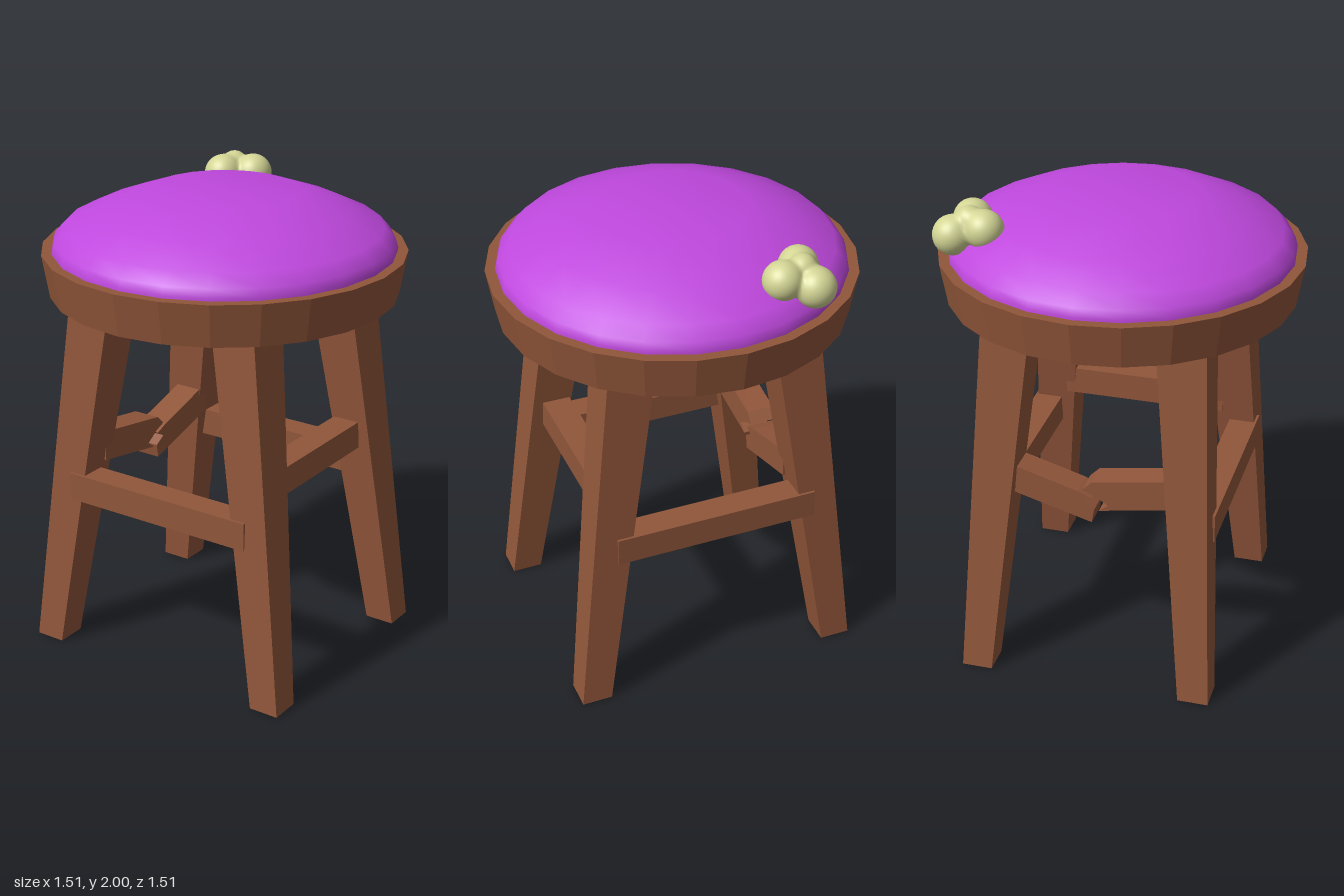
import * as THREE from 'three';
import { mergeVertices } from 'three/addons/utils/BufferGeometryUtils.js';

const wood = new THREE.MeshStandardMaterial({ color: 0x91563a, flatShading: true });
const fabric = new THREE.MeshStandardMaterial({ color: 0xbf48de, side: THREE.DoubleSide });
const gum = new THREE.MeshStandardMaterial({ color: 0xd3d595 });

function add(parent, name, geometry, material) {
  const mesh = new THREE.Mesh(geometry, material);
  mesh.name = name;
  parent.add(mesh);
  return mesh;
}

// Splayed square leg that widens towards the seat; sx, sz pick the corner
function legGeometry(sx, sz) {
  const g = new THREE.BoxGeometry(1, 1, 1);
  const p = g.attributes.position;
  const lerp = THREE.MathUtils.lerp;
  for (let i = 0; i < p.count; i++) {
    const t = p.getY(i) + 0.5;
    const x = p.getX(i) * sx > 0 ? lerp(0.625, 0.45, t) : lerp(0.495, 0.25, t);
    const z = p.getZ(i) * sz > 0 ? lerp(0.54, 0.46, t) : lerp(0.41, 0.255, t);
    p.setXYZ(i, sx * x, t * 1.58, sz * z);
  }
  g.computeVertexNormals();
  return g;
}

// Half of the snapped rail: a (z, y) outline given thickness along x
function brokenRailGeometry(outline) {
  const shape = new THREE.Shape(outline.map(([z, y]) => new THREE.Vector2(z, y)));
  const g = new THREE.ExtrudeGeometry(shape, { depth: 0.12, bevelEnabled: false });
  g.rotateY(-Math.PI / 2); // outline x -> z, thickness -> -x
  g.translate(-0.355, 0, 0);
  return g;
}

// Lumpy blob: a ball pushed out to the softened union of overlapping spheres,
// each of which must contain the blob's centre
function blobGeometry(lobes) {
  let g = new THREE.IcosahedronGeometry(1, 10);
  g.deleteAttribute('normal');
  g.deleteAttribute('uv');
  g = mergeVertices(g);
  const p = g.attributes.position;
  const d = new THREE.Vector3();
  for (let i = 0; i < p.count; i++) {
    d.fromBufferAttribute(p, i).normalize();
    let sum = 0;
    for (const [x, y, z, r] of lobes) {
      const along = d.x * x + d.y * y + d.z * z;
      const reach = along + Math.sqrt(r * r - (x * x + y * y + z * z) + along * along);
      sum += Math.pow(reach, 10);
    }
    d.multiplyScalar(Math.pow(sum, 0.1));
    p.setXYZ(i, d.x, d.y, d.z);
  }
  g.computeVertexNormals();
  return g;
}

export function createModel() {
  const model = new THREE.Group();
  model.name = 'stool';

  // Legs
  for (const sx of [1, -1]) {
    for (const sz of [1, -1]) {
      add(model, (sz > 0 ? 'front' : 'back') + (sx > 0 ? 'Left' : 'Right') + 'Leg', legGeometry(sx, sz), wood);
    }
  }

  // Front and back rails sit low, the left rail sits higher
  for (const sz of [1, -1]) {
    add(model, sz > 0 ? 'frontRail' : 'backRail', new THREE.BoxGeometry(0.88, 0.12, 0.12), wood)
      .position.set(0, 0.75, sz * 0.45);
  }
  add(model, 'leftRail', new THREE.BoxGeometry(0.12, 0.12, 0.72), wood).position.set(0.415, 0.912, 0);

  // Right rail, snapped in the middle with both halves sagging
  const broken = new THREE.Group();
  broken.name = 'brokenRightRail';
  model.add(broken);
  add(broken, 'frontHalf', brokenRailGeometry([
    [0.37, 0.97], [0.37, 0.84], [0.03, 0.78], [0.07, 0.81], [0.01, 0.85], [-0.04, 0.87], [0, 0.91],
  ]), wood);
  add(broken, 'backHalf', brokenRailGeometry([
    [-0.37, 0.95], [-0.37, 0.825], [0, 0.72], [0.01, 0.78], [-0.04, 0.81], [0, 0.835], [-0.06, 0.86],
  ]), wood);

  // Wooden seat
  add(model, 'seat', new THREE.CylinderGeometry(0.753, 0.722, 0.18, 24), wood).position.y = 1.665;

  // Domed cushion with a flat middle
  const dome = [[0.71, 1.74], [0.71, 1.765], [0.7, 1.8], [0.655, 1.85], [0.52, 1.915], [0.31, 1.992], [0, 1.994]];
  add(model, 'cushion', new THREE.LatheGeometry(dome.map(([r, y]) => new THREE.Vector2(r, y)), 24), fabric);

  // Chewed gum stuck to the back of the cushion
  add(model, 'gum', blobGeometry([
    [-0.03, 0.01, 0.068, 0.08],
    [0.073, 0.01, -0.015, 0.08],
    [-0.045, -0.02, -0.06, 0.082],
    [-0.015, 0.04, 0, 0.056],
  ]), gum).position.set(-0.3, 1.9, -0.54);

  return model;
}
